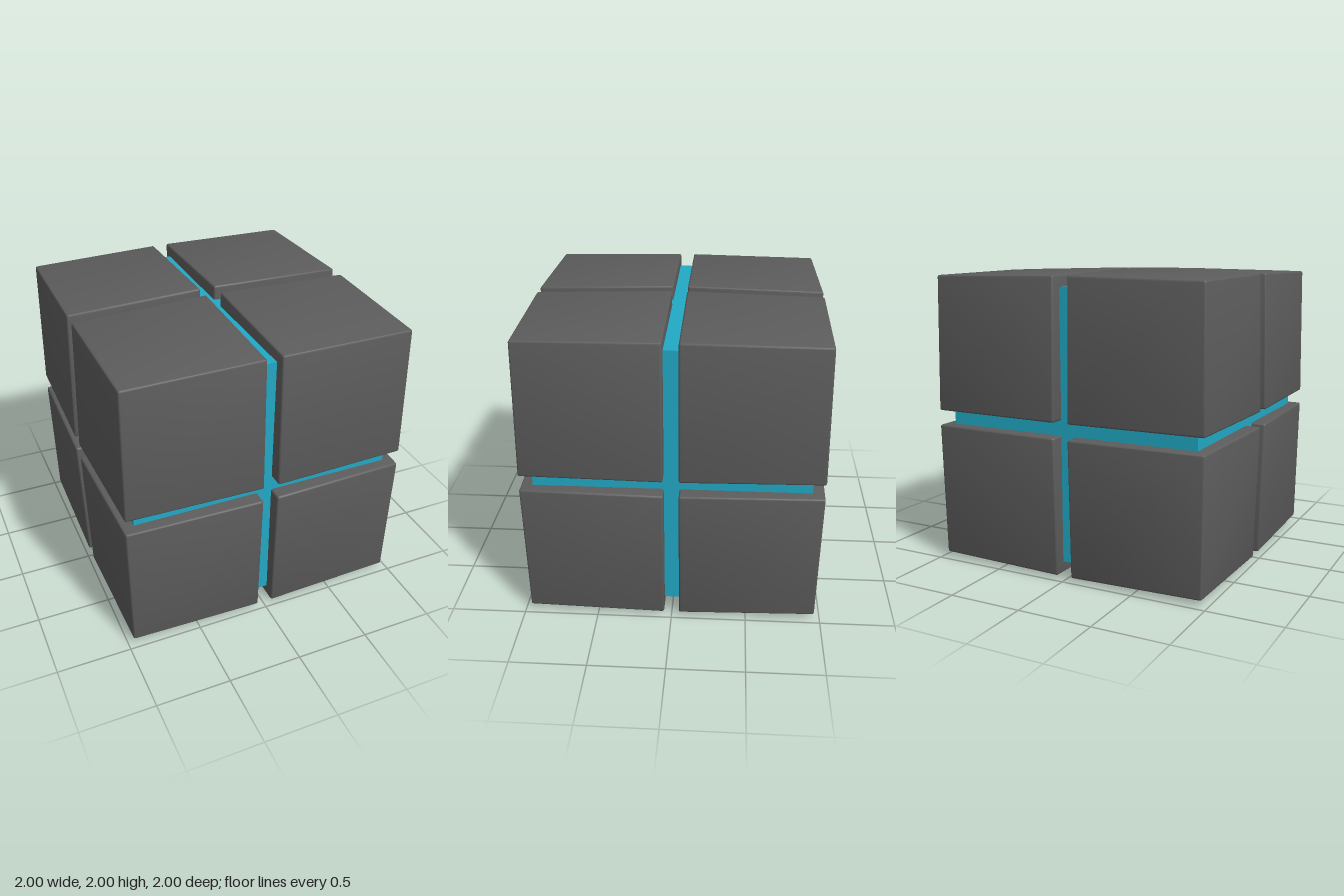
import * as THREE from 'three';
import { RoundedBoxGeometry } from 'three/addons/geometries/RoundedBoxGeometry.js';
import { toCreasedNormals } from 'three/addons/utils/BufferGeometryUtils.js';

const INNER = 0.05; // half the gap between blocks
const SIZE = 0.95;  // block edge length

// One corner block: bevelled cube whose outer faces slope in towards the outer corner
function cornerBlock(sx, sy, sz) {
  const geo = new RoundedBoxGeometry(SIZE, SIZE, SIZE, 2, 0.014);
  const pos = geo.attributes.position;
  const signs = [sx, sy, sz];
  const taper = (a, b, c) => INNER + SIZE * a - a * (0.025 * (b + c) - 0.012 * b * c);
  for (let i = 0; i < pos.count; i++) {
    // 0 at the inner side, 1 at the outer side, per axis
    const [a, b, c] = [pos.getX(i), pos.getY(i), pos.getZ(i)].map((v, k) => 0.5 + (signs[k] * v) / SIZE);
    pos.setXYZ(i, sx * taper(a, b, c), sy * taper(b, c, a), sz * taper(c, a, b));
  }
  return toCreasedNormals(geo, 0.5);
}

export function createModel() {
  const model = new THREE.Group();
  model.name = 'segmentedCube';
  const blockGrey = new THREE.MeshStandardMaterial({ color: 0x5c5c5c });
  blockGrey.name = 'blockGrey';
  const coreTeal = new THREE.MeshStandardMaterial({ color: 0x22a9c4 });
  coreTeal.name = 'coreTeal';

  // Core seen through the gaps
  const core = new THREE.Mesh(new THREE.BoxGeometry(1.8, 1.8, 1.8), coreTeal);
  core.name = 'core';
  core.position.y = 1;
  model.add(core);

  // Eight corner blocks
  for (const sx of [-1, 1]) for (const sy of [-1, 1]) for (const sz of [-1, 1]) {
    const block = new THREE.Mesh(cornerBlock(sx, sy, sz), blockGrey);
    block.name = `${sy > 0 ? 'top' : 'bottom'}${sz > 0 ? 'Front' : 'Back'}${sx > 0 ? 'Left' : 'Right'}Block`;
    block.position.y = 1;
    model.add(block);
  }
  return model;
}
